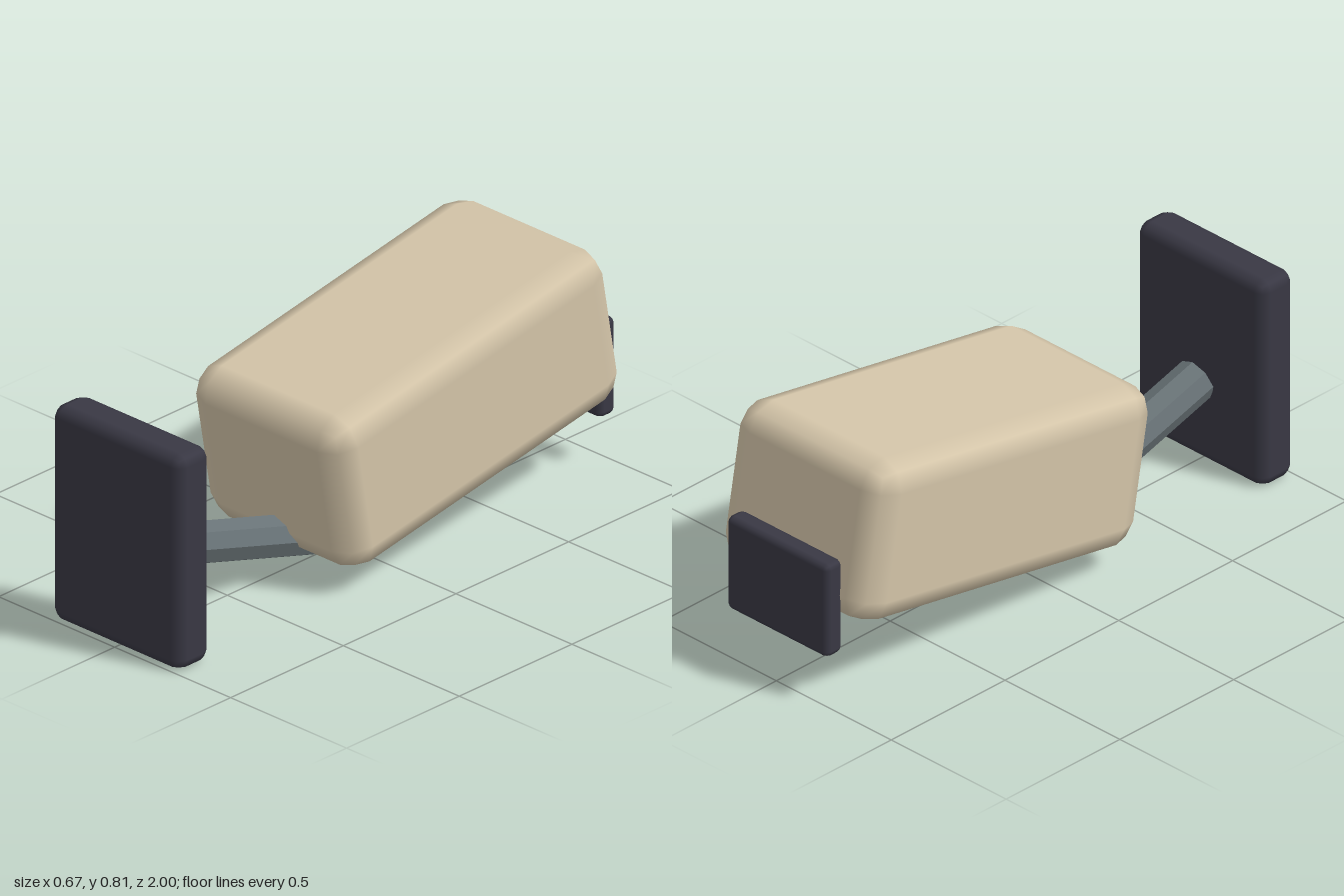
import * as THREE from 'three';
import { RoundedBoxGeometry } from 'three/addons/geometries/RoundedBoxGeometry.js';

function material(name, color, flatShading = false) {
  const m = new THREE.MeshStandardMaterial({ color, flatShading });
  m.name = name;
  return m;
}

export function createModel() {
  const group = new THREE.Group();
  group.name = 'wallCamera';
  const beige = material('beige', 0xd4c5a9);
  const dark = material('darkSlate', 0x393844);
  const grey = material('steelGrey', 0x687276, true);

  function add(name, geometry, mat, y, z, tilt = 0) {
    const mesh = new THREE.Mesh(geometry, mat);
    mesh.name = name;
    mesh.position.set(0, y, z);
    mesh.rotation.x = THREE.MathUtils.degToRad(tilt);
    group.add(mesh);
  }

  // Box with a two-step bevel along each edge
  const bevelBox = (w, h, d, r) => new RoundedBoxGeometry(w, h, d, 1, r);

  // Tilted housing
  add('housing', bevelBox(0.665, 0.555, 1.245, 0.092), beige, 0.449, -0.295, 10);

  // Upright plates at either end
  add('mountingPlate', bevelBox(0.556, 0.742, 0.144, 0.038), dark, 0.371, 0.928);
  add('lensPlate', bevelBox(0.44, 0.334, 0.072, 0.02), dark, 0.336, -0.964);

  // Eight-sided arm running up from under the housing to the mounting plate
  add('arm', new THREE.CylinderGeometry(0.071, 0.071, 0.765, 8), grey, 0.186, 0.482, 73.5);

  return group;
}
